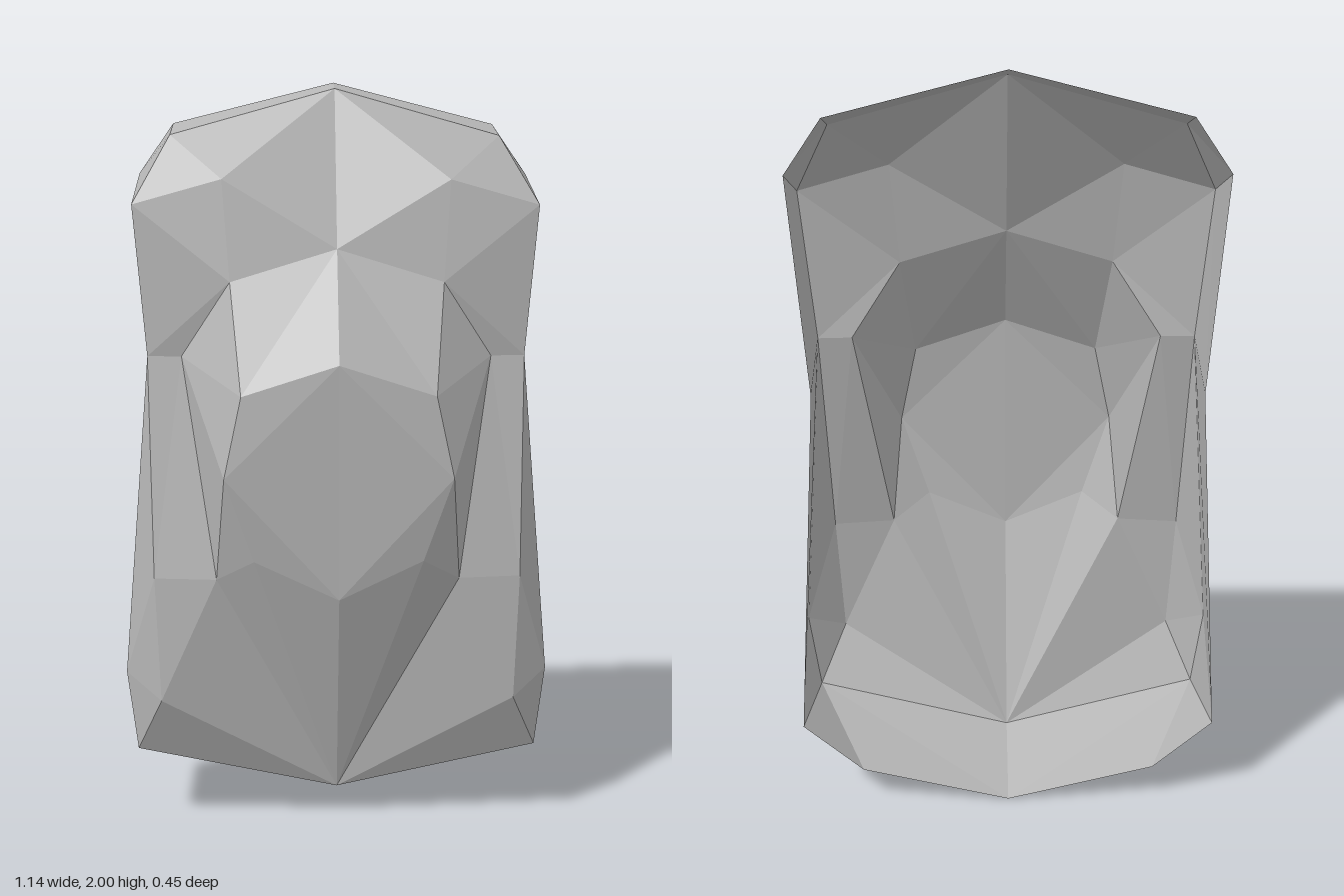
import * as THREE from 'three';

// Corner points of the left half (x >= 0); the right half is mirrored.
const BACK = -0.23;
const points = {
  // open back rim, from crown to foot
  b0: [0, 2, BACK], b1: [0.44, 1.89, BACK], b2: [0.535, 1.755, BACK], b3: [0.495, 1.2, BACK],
  b5: [0.56, 0.24, BACK], b6: [0.4, 0.1, BACK], b7: [0, 0, BACK],
  // front rim
  f0: [0, 1.975, -0.125], f1: [0.44, 1.85, -0.085], f2: [0.535, 1.665, 0.025], f3: [0.5, 1.27, 0.03],
  f4: [0.568, 0.42, 0.06], f5: [0.54, 0.205, 0.063], f6: [0, 0.08, 0.035],
  // brow and shoulder
  brow: [0.3, 1.73, 0.03], neck: [0, 1.55, 0.062], shoulder: [0.28, 1.465, 0.07], notch: [0.41, 1.27, 0.035],
  // raised belly
  chest: [0, 1.26, 0.222], rib: [0.25, 1.18, 0.21], waist: [0.295, 0.97, 0.225],
  navel: [0, 0.65, 0.215], groin: [0.22, 0.75, 0.2], hip: [0.32, 0.69, 0.14],
  // lower side bulge
  flank: [0.485, 0.69, 0.118], knee: [0.47, 0.36, 0.135],
};

// Triangles of each part, counter-clockwise from outside.
const parts = {
  upperFront: [
    'f0 brow f1', 'brow f2 f1', 'f0 neck brow', 'brow shoulder f2',
    'neck shoulder brow', 'shoulder f3 f2', 'shoulder notch f3',
  ],
  belly: [
    'neck rib shoulder', 'neck chest rib', 'chest waist rib', 'shoulder rib notch', 'rib waist notch',
    'notch waist hip', 'chest navel waist', 'navel groin waist', 'groin hip waist',
  ],
  lowerFront: [
    'f6 groin navel', 'f6 hip groin', 'f6 knee hip', 'f6 f5 knee', 'hip knee flank',
    'notch hip flank', 'notch flank f3', 'flank f4 f3', 'flank knee f4', 'knee f5 f4',
  ],
  topWall: ['f0 f1 b1', 'f0 b1 b0', 'f1 f2 b2', 'f1 b2 b1'],
  sideWall: ['f2 f3 b3', 'f2 b3 b2', 'f3 f4 b5', 'f3 b5 b3', 'f4 f5 b5'],
  bottomWall: ['f5 b6 b5', 'f5 b7 b6', 'f5 f6 b7'],
};

// Builds both mirrored halves of a part as flat facets.
function facets(triangles) {
  const positions = [];
  for (const side of [1, -1]) {
    for (const triangle of triangles) {
      const names = triangle.split(' ');
      if (side < 0) names.reverse();
      for (const name of names) {
        const [x, y, z] = points[name];
        positions.push(x * side, y, z);
      }
    }
  }
  const geometry = new THREE.BufferGeometry();
  geometry.setAttribute('position', new THREE.Float32BufferAttribute(positions, 3));
  geometry.computeVertexNormals();
  return geometry;
}

export function createModel() {
  const stone = new THREE.MeshStandardMaterial({
    name: 'grey stone', color: 0xb4b4b4, flatShading: true, side: THREE.DoubleSide,
  });
  const model = new THREE.Group();
  model.name = 'facetedShell';
  for (const [name, triangles] of Object.entries(parts)) {
    const mesh = new THREE.Mesh(facets(triangles), stone);
    mesh.name = name;
    model.add(mesh);
  }
  return model;
}
